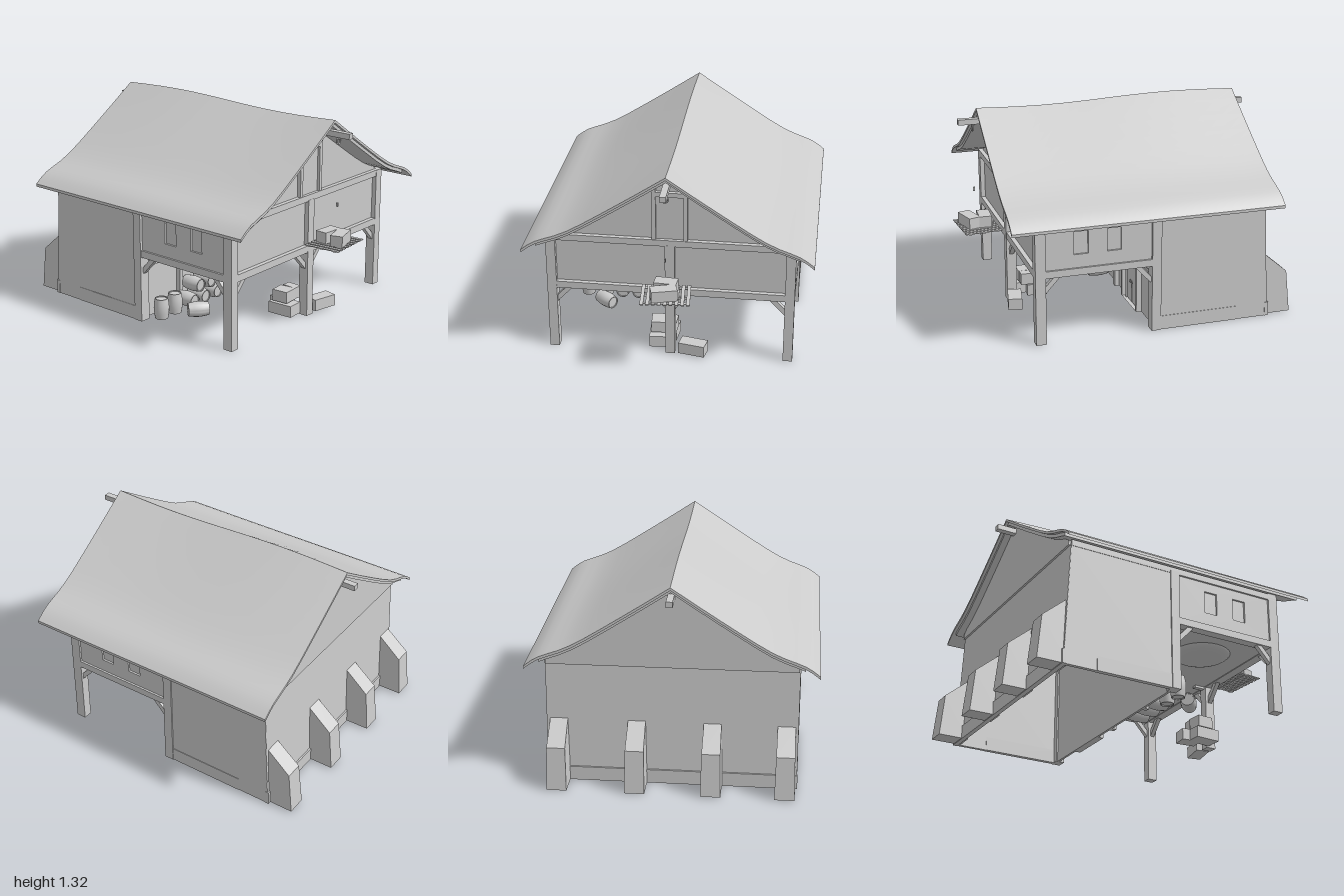
import * as THREE from 'three';
import { toCreasedNormals } from 'three/addons/utils/BufferGeometryUtils.js';

export function createModel() {
  const root = new THREE.Group();
  const mat = new THREE.MeshStandardMaterial({ color: 0xcccccc, side: THREE.DoubleSide });

  const add = (name, geo, parent = root) => {
    const m = new THREE.Mesh(geo, mat);
    m.name = name;
    parent.add(m);
    return m;
  };
  // box given by its extents
  const box = (name, x0, x1, y0, y1, z0, z1, parent) => {
    const g = new THREE.BoxGeometry(x1 - x0, y1 - y0, z1 - z0);
    g.translate((x0 + x1) / 2, (y0 + y1) / 2, (z0 + z1) / 2);
    return add(name, g, parent);
  };
  const outline = pts => new THREE.Shape(pts.map(p => new THREE.Vector2(p[0], p[1])));
  // outline in (x, y), pushed along z
  const prismZ = (pts, z0, z1, steps = 1) =>
    new THREE.ExtrudeGeometry(outline(pts), { depth: z1 - z0, steps, bevelEnabled: false }).translate(0, 0, z0);
  // outline in (z, y), pushed along x
  const prismX = (pts, x0, x1) =>
    new THREE.ExtrudeGeometry(outline(pts), { depth: x1 - x0, bevelEnabled: false }).rotateY(-Math.PI / 2).translate(x1, 0, 0);
  // square timber between two points
  const beam = (name, a, b, w) => {
    const p = new THREE.Vector3(...a), q = new THREE.Vector3(...b);
    const m = add(name, new THREE.BoxGeometry(w, w, p.distanceTo(q)));
    m.position.copy(p).add(q).multiplyScalar(0.5);
    m.lookAt(q);
  };

  // roof: flared cross-section with an uneven ridge
  const half = new THREE.SplineCurve([[0, 1.31], [0.3, 1.11], [0.6, 0.922], [0.8, 0.84], [0.89, 0.777]]
    .map(p => new THREE.Vector2(...p))).getPoints(12).map(p => [p.x, p.y]);
  const mirror = pts => pts.slice(1).reverse().map(([x, y]) => [-x, y]).concat(pts);
  const band = (pts, t) => mirror(pts).concat(mirror(pts.map(([x, y]) => [x, y - t])).reverse());
  const swayRoof = geo => {
    const p = geo.attributes.position;
    for (let i = 0; i < p.count; i++) {
      const rise = Math.max(0, (p.getY(i) - 0.78) / 0.53);
      p.setY(i, p.getY(i) - 0.013 * Math.sin(p.getZ(i) * 3.7) * rise);
    }
    return toCreasedNormals(geo, 0.5);
  };
  add('roof', swayRoof(prismZ(band(half, 0.018), -0.88, 0.85, 12)));
  const inner = half.filter(p => p[0] < 0.82).map(([x, y]) => [x, y - 0.018]);
  add('roofUnderlay', swayRoof(prismZ(band(inner, 0.022), -0.86, 0.83, 12)));

  // gable walls
  const gableTop = half.filter(p => p[0] < 0.74).map(([x, y]) => [x, y - 0.03]);
  const gable = mirror(gableTop).concat([[0.765, 0.8], [0.765, 0.77], [-0.765, 0.77], [-0.765, 0.8]]);
  add('frontGable', prismZ(gable, 0.63, 0.655));
  add('backGable', prismZ(gable, -0.815, -0.79));

  // loft door in the front gable
  for (const s of [-1, 1]) {
    const x = s * 0.0975;
    box('loftDoorJamb', x - 0.0125, x + 0.0125, 0.81, 1.2, 0.65, 0.68);
  }
  box('loftDoorLintel', -0.085, 0.085, 1.1, 1.13, 0.65, 0.68);
  box('loftDoor', -0.085, 0.085, 0.81, 1.1, 0.65, 0.662);

  // hoist beam with ring and hook, and the beam end at the back
  box('hoistBeam', -0.02, 0.02, 1.21, 1.245, 0.6, 0.97);
  box('rearRidgeBeam', -0.02, 0.02, 1.21, 1.245, -0.945, -0.78);
  const ring = add('hoistRing', new THREE.TorusGeometry(0.02, 0.005, 8, 20));
  ring.position.set(0, 1.185, 0.878);
  box('hoistPin', -0.004, 0.004, 1.195, 1.215, 0.872, 0.884);
  box('hook', -0.004, 0.004, 0.768, 0.793, 0.874, 0.886);

  // timber frame of the upper storey
  for (const s of [-1, 1]) {
    const c = s * 0.745;
    box('frontPost', c - 0.03, c + 0.03, 0, 0.78, 0.62, 0.685);
    box('middlePost', c - 0.035, c + 0.035, 0, 0.78, -0.115, -0.055);
    box('sideSill', c - 0.03, c + 0.03, 0.43, 0.475, -0.06, 0.625);
    box('sidePlate', c - 0.03, c + 0.03, 0.765, 0.805, -0.8, 0.685);
    // side wall with two windows
    const w = new THREE.Shape().moveTo(-0.06, 0.46).lineTo(0.63, 0.46).lineTo(0.63, 0.78).lineTo(-0.06, 0.78);
    for (const z of [0.14, 0.35])
      w.holes.push(new THREE.Path().moveTo(z, 0.56).lineTo(z, 0.705).lineTo(z + 0.09, 0.705).lineTo(z + 0.09, 0.56));
    const g = new THREE.ExtrudeGeometry(w, { depth: 0.02, bevelEnabled: false }).rotateY(-Math.PI / 2);
    add('sideWall', g.translate(s * 0.752 + 0.01, 0, 0));
    for (const z of [0.14, 0.35])
      box('windowPane', s * 0.745 - 0.004, s * 0.745 + 0.004, 0.56, 0.705, z, z + 0.09);
    // braces
    beam('frontBrace', [s * 0.73, 0.33, 0.652], [s * 0.625, 0.44, 0.652], 0.03);
    beam('centreBrace', [s * 0.02, 0.33, 0.652], [s * 0.125, 0.44, 0.652], 0.03);
    beam('sideBrace', [c, 0.33, 0.635], [c, 0.44, 0.535], 0.03);
    beam('sideBrace', [c, 0.33, -0.06], [c, 0.44, 0.04], 0.03);
    const p0 = s < 0 ? -0.72 : 0.025;
    box('frontPanel', p0, p0 + 0.695, 0.47, 0.775, 0.63, 0.655);
  }
  box('centrePost', -0.03, 0.03, 0, 0.775, 0.62, 0.685);
  box('centreBrace', -0.016, 0.016, 0.42, 0.445, 0.55, 0.65);
  box('frontSill', -0.775, 0.775, 0.43, 0.475, 0.62, 0.684);
  box('frontPlate', -0.775, 0.775, 0.768, 0.81, 0.62, 0.684);
  box('loftFloor', -0.74, 0.74, 0.435, 0.455, -0.1, 0.64);

  // rounded belly hanging below the loft floor
  const belly = add('hangingBelly', new THREE.SphereGeometry(0.19, 28, 8, 0, Math.PI * 2, Math.PI / 2, Math.PI / 2));
  belly.scale.y = 0.3;
  belly.position.set(-0.45, 0.447, 0.31);

  // ground-floor room, its back wall leaning inwards, open underneath
  for (const s of [-1, 1]) {
    const c = s * 0.76;
    add('roomSideWall', prismX([[-0.09, 0], [-0.09, 0.78], [-0.8, 0.78], [-0.838, 0]], c - 0.012, c + 0.012));
    box('sidePlinth', c - 0.015, c + 0.015, 0, 0.09, -0.62, -0.1);
  }
  add('roomBackWall', prismX([[-0.838, 0], [-0.815, 0], [-0.778, 0.78], [-0.802, 0.78]], -0.77, 0.77));
  box('backPlinth', -0.775, 0.775, 0, 0.09, -0.845, -0.82);
  box('roomFrontWall', -0.75, 0.75, 0, 0.78, -0.105, -0.09);
  box('wallPlate', -0.74, 0.74, 0.34, 0.362, -0.095, -0.075);
  for (let i = -5; i <= 5; i++)
    box('joistEnd', i * 0.13 - 0.03, i * 0.13 - 0.01, 0.362, 0.436, -0.095, -0.07);
  box('wallStud', -0.415, -0.385, 0, 0.436, -0.095, -0.06);
  box('wallStud', -0.015, 0.02, 0, 0.436, -0.095, -0.06);

  // double door with chamfered frame
  const frame = outline([[0.165, 0], [0.165, 0.305], [0.18, 0.32], [0.465, 0.32], [0.48, 0.305], [0.48, 0]]);
  frame.holes.push(new THREE.Path().moveTo(0.19, 0).lineTo(0.455, 0).lineTo(0.455, 0.295).lineTo(0.19, 0.295));
  add('doorFrame', new THREE.ExtrudeGeometry(frame, { depth: 0.04, bevelEnabled: false }).translate(0, 0, -0.095));
  for (const s of [-1, 1]) {
    const x = 0.3225 + s * 0.066;
    box('doorLeaf', x - 0.064, x + 0.064, 0.005, 0.293, -0.095, -0.078);
    box('doorBatten', x + s * 0.035, x + s * 0.035 + 0.012, 0.005, 0.293, -0.08, -0.068);
    const knob = add('doorRing', new THREE.TorusGeometry(0.009, 0.003, 6, 14));
    knob.position.set(0.3225 + s * 0.014, 0.148, -0.073);
  }

  // buttresses along the back wall
  for (const x of [-0.7, -0.25, 0.215, 0.695]) {
    const g = prismX([[-0.8, 0.005], [-0.8, 0.425], [-0.82, 0.41], [-0.972, 0.28], [-1, 0.005]], -0.062, 0.062);
    const p = g.attributes.position;
    for (let i = 0; i < p.count; i++) p.setX(i, x + p.getX(i) * (1 - 0.3 * p.getY(i)));
    g.computeVertexNormals();
    add('buttress', g);
  }

  // barrels
  const barrelGeo = toCreasedNormals(new THREE.LatheGeometry([[0, -0.06], [0.036, -0.06], [0.036, -0.067], [0.042, -0.067],
    [0.048, -0.03], [0.05, 0], [0.048, 0.03], [0.042, 0.067], [0.036, 0.067], [0.036, 0.06], [0, 0.06]]
    .map(p => new THREE.Vector2(...p)), 18), 0.6);
  const barrel = (x, y, z, lying, turn = 0) => {
    const m = add('barrel', barrelGeo);
    m.position.set(x, y, z);
    m.rotation.set(lying ? Math.PI / 2 : 0, turn, 0, 'YXZ');
  };
  for (const x of [-0.41, -0.3, -0.18]) barrel(x, 0.06, 0, true);
  for (const x of [-0.35, -0.24, -0.12]) barrel(x, 0.15, 0, true);
  barrel(-0.655, 0.07, 0, false);
  barrel(-0.53, 0.07, 0, false);
  barrel(-0.5, 0.06, 0.175, true, 0.9);

  // crates around the centre post
  const crate = (x, y, z, w, h, d, turn, parent) => {
    const m = add('crate', new THREE.BoxGeometry(w, h, d), parent);
    m.position.set(x, y, z);
    m.rotation.y = turn;
  };
  crate(-0.09, 0.047, 0.55, 0.11, 0.075, 0.17, 0.06);
  crate(-0.02, 0.047, 0.48, 0.1, 0.075, 0.13, -0.1);
  crate(-0.085, 0.13, 0.54, 0.1, 0.075, 0.11, 0.08);
  crate(0.0, 0.13, 0.54, 0.06, 0.075, 0.1, -0.05);
  crate(0.145, 0.047, 0.665, 0.17, 0.075, 0.09, -0.2);

  // hoisted pallet with crates
  const pallet = new THREE.Group();
  pallet.name = 'pallet';
  pallet.position.set(0, 0.53, 0.865);
  pallet.rotation.y = 0.08;
  root.add(pallet);
  for (let i = 0; i < 9; i++) {
    const x = -0.14 + i * 0.035;
    box('palletSlat', x - 0.011, x + 0.011, 0, 0.006, -0.12, 0.12, pallet);
  }
  for (const z of [-0.09, 0, 0.09]) box('palletRail', -0.15, 0.15, -0.004, 0.001, z - 0.01, z + 0.01, pallet);
  crate(-0.01, 0.043, 0.05, 0.16, 0.072, 0.08, 0.2, pallet);
  crate(0.0, 0.043, -0.045, 0.14, 0.072, 0.08, -0.15, pallet);

  return root;
}
